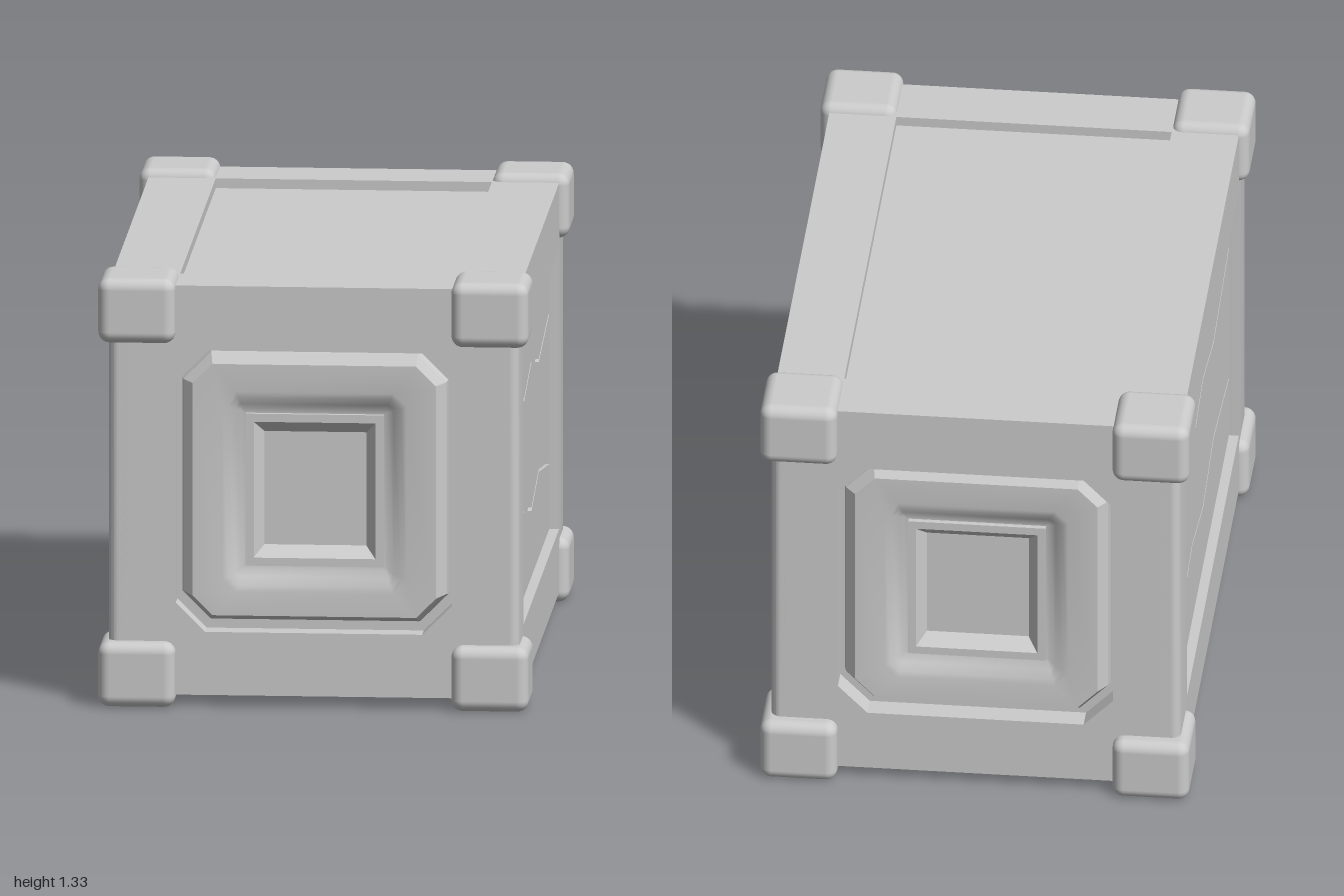
import * as THREE from 'three';
import { toCreasedNormals } from 'three/addons/utils/BufferGeometryUtils.js';
import { RoundedBoxGeometry } from 'three/addons/geometries/RoundedBoxGeometry.js';

const material = new THREE.MeshStandardMaterial({ color: 0xcccccc });

function add(parent, name, geometry) {
  const mesh = new THREE.Mesh(geometry, material);
  mesh.name = name;
  parent.add(mesh);
  return mesh;
}

// Box given by its lower and upper corners
function boxBetween(x0, y0, z0, x1, y1, z1) {
  return new THREE.BoxGeometry(x1 - x0, y1 - y0, z1 - z0)
    .translate((x0 + x1) / 2, (y0 + y1) / 2, (z0 + z1) / 2);
}

// Rectangle with clipped corners, counter-clockwise
function octagon(hx, y0, y1, c) {
  return [
    [hx, y0 + c], [hx, y1 - c], [hx - c, y1], [-hx + c, y1],
    [-hx, y1 - c], [-hx, y0 + c], [-hx + c, y0], [hx - c, y0],
  ];
}

const toShape = (points) => new THREE.Shape(points.map(([x, y]) => new THREE.Vector2(x, y)));

// Surface stepping inwards through clipped rectangles: [half width, y0, y1, clip, z]
function steppedPanel(rings) {
  const loops = rings.map(([hx, y0, y1, c, z]) =>
    octagon(hx, y0, y1, c).map(([x, y]) => [x, y, z]));
  const pos = [];
  const n = 8;
  for (let r = 0; r < loops.length - 1; r++) {
    const a = loops[r], b = loops[r + 1];
    for (let i = 0; i < n; i++) {
      const j = (i + 1) % n;
      pos.push(...a[i], ...a[j], ...b[j], ...a[i], ...b[j], ...b[i]);
    }
  }
  const cap = loops[loops.length - 1];
  for (let i = 1; i < n - 1; i++) pos.push(...cap[0], ...cap[i], ...cap[i + 1]);
  const geometry = new THREE.BufferGeometry();
  geometry.setAttribute('position', new THREE.Float32BufferAttribute(pos, 3));
  return toCreasedNormals(geometry, 0.5);
}

// End wall: plate with clipped opening and a dished panel with a small framed window
function createEnd() {
  const end = new THREE.Group();
  end.name = 'endWall';
  const plate = toShape([[-0.595, 0.035], [0.595, 0.035], [0.595, 1.3], [-0.595, 1.3]]);
  plate.holes.push(new THREE.Path(
    octagon(0.42, 0.23, 1.1, 0.09).map(([x, y]) => new THREE.Vector2(x, y))));
  add(end, 'endFrame',
    new THREE.ExtrudeGeometry(plate, { depth: 0.19, bevelEnabled: false }).translate(0, 0, 0.76));
  add(end, 'endPanel', steppedPanel([
    [0.43, 0.22, 1.11, 0.09, 0.88],
    [0.405, 0.26, 1.092, 0.085, 0.88],
    [0.4, 0.263, 1.088, 0.085, 0.905],
    [0.37, 0.278, 1.055, 0.06, 0.93],
    [0.28, 0.35, 0.97, 0.04, 0.93],
    [0.262, 0.37, 0.952, 0.03, 0.926],
    [0.24, 0.395, 0.93, 0.015, 0.912],
    [0.222, 0.418, 0.912, 0.005, 0.902],
    [0.21, 0.43, 0.9, 0.001, 0.9],
    [0.21, 0.43, 0.9, 0.001, 0.916],
    [0.185, 0.455, 0.875, 0.001, 0.916],
    [0.155, 0.49, 0.84, 0.001, 0.878],
  ]));
  return end;
}

// Side wall: rails and three planks parted by zigzag grooves
function createSide() {
  const side = new THREE.Group();
  side.name = 'sideWall';
  add(side, 'topRail', boxBetween(0.42, 1.1, -0.76, 0.625, 1.3, 0.76));
  add(side, 'bottomRail', boxBetween(0.42, 0.035, -0.76, 0.625, 0.23, 0.76));

  const zs = [-0.76, -0.31, 0, 0.31, 0.76];
  const line = (heights, shift) => zs.map((z, i) => [z, heights[i] + shift]);
  const flat = (y) => [[-0.76, y], [0.76, y]];
  const lower = [0.435, 0.498, 0.438, 0.498, 0.435];
  const upper = [0.9, 0.838, 0.898, 0.838, 0.9];
  const gap = 0.005;
  const planks = [
    [flat(0.23), line(lower, -gap)],
    [line(lower, gap), line(upper, -gap)],
    [line(upper, gap), flat(1.1)],
  ];
  for (const [bottom, top] of planks) {
    const shape = toShape([...bottom, ...top.reverse()]);
    add(side, 'plank', new THREE.ExtrudeGeometry(shape, { depth: 0.012, bevelEnabled: false })
      .rotateY(Math.PI / 2).translate(0.583, 0, 0));
  }
  return side;
}

// Corner post with a rounded outer edge, extruded upwards from its plan
function postGeometry() {
  const plan = new THREE.Shape();
  plan.moveTo(0.56, -0.76);
  plan.lineTo(0.56, -0.95);
  plan.lineTo(0.595, -0.95);
  plan.absarc(0.595, -0.92, 0.03, -Math.PI / 2, 0, false);
  plan.lineTo(0.625, -0.76);
  const geometry = new THREE.ExtrudeGeometry(plan, { depth: 1.265, bevelEnabled: false, curveSegments: 6 });
  return toCreasedNormals(geometry.rotateX(-Math.PI / 2).translate(0, 0.035, 0), 0.5);
}

export function createModel() {
  const crate = new THREE.Group();
  crate.name = 'crate';

  // Core shows as the sunken top and bottom and as the groove floors
  add(crate, 'core', boxBetween(-0.583, 0.065, -0.77, 0.583, 1.27, 0.77));

  for (const turn of [0, Math.PI]) {
    for (const wall of [createEnd(), createSide()]) {
      wall.rotation.y = turn;
      crate.add(wall);
    }
  }

  // Posts and corner guards
  const post = postGeometry();
  const guard = new RoundedBoxGeometry(0.235, 0.2, 0.24, 4, 0.035);
  for (const sx of [-1, 1]) {
    for (const sz of [-1, 1]) {
      // A half turn serves the opposite corner; the other pair swaps the plan axes by reflection
      const corner = add(crate, 'cornerPost', post);
      if (sx === sz) corner.rotation.y = sx > 0 ? 0 : Math.PI;
      else corner.scale.set(sx, 1, sz);
      for (const y of [0.1, 1.225]) {
        add(crate, 'cornerGuard', guard).position.set(sx * 0.5375, y, sz * 0.88);
      }
    }
  }
  return crate;
}
